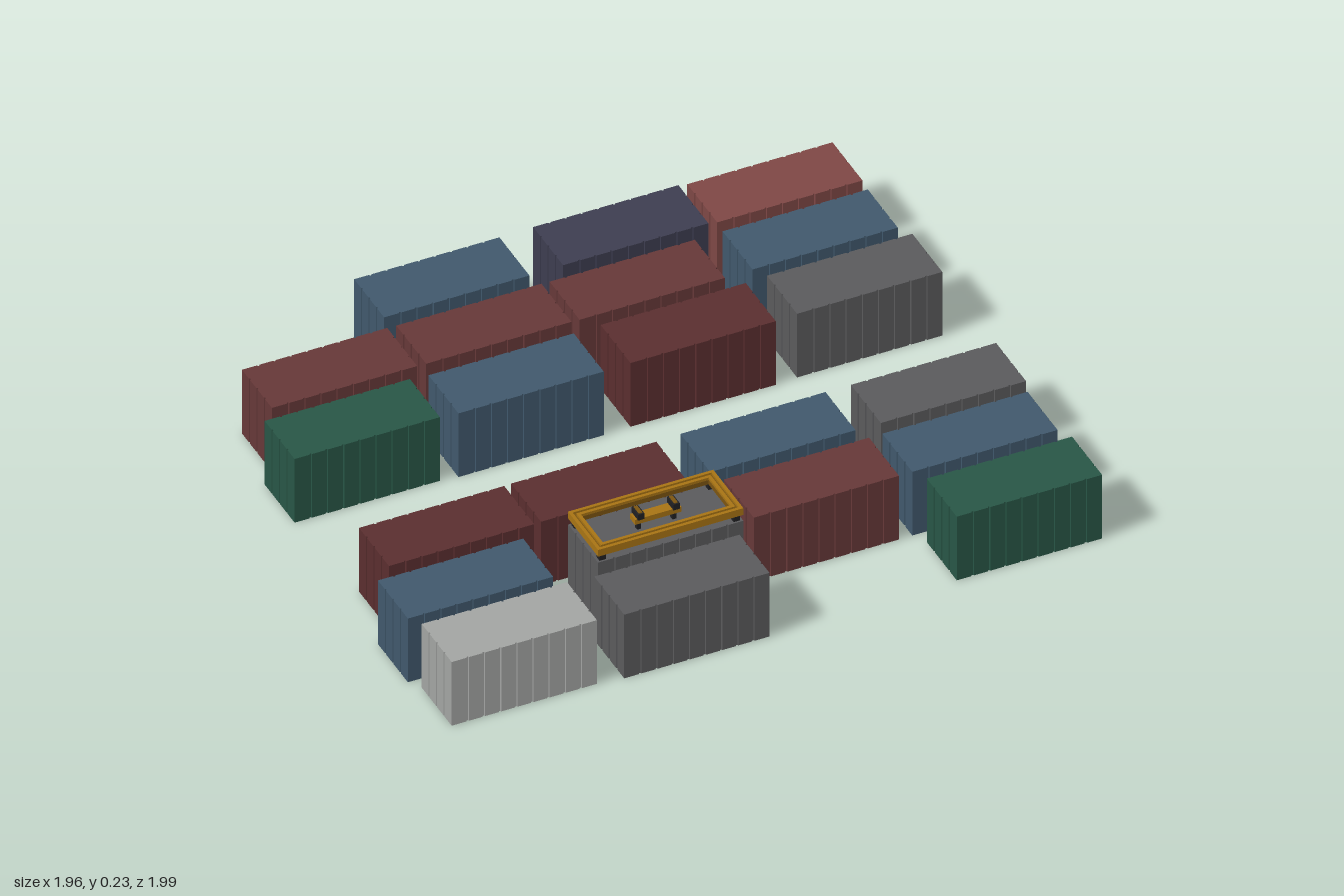
import * as THREE from 'three';

const LENGTH = 0.362, WIDTH = 0.157, HEIGHT = 0.18, YAW = Math.PI / 6;

const COLORS = {
  lightRed: 0x7e4745, red: 0x663838, darkRed: 0x5a2e2f, blue: 0x40586c, navy: 0x3d3d50,
  grey: 0x5a5a5c, green: 0x285646, lightGrey: 0xa2a4a2, orange: 0xa87414, channel: 0x7c5510, black: 0x202022,
};
const materials = {};
for (const key in COLORS) {
  materials[key] = new THREE.MeshStandardMaterial({ color: COLORS[key], flatShading: true });
}

// Colour, x and z of every container in the yard
const CONTAINERS = [
  ['lightRed', 0.156, -0.84], ['navy', -0.177, -0.654], ['blue', -0.563, -0.429],
  ['blue', 0.249, -0.672], ['grey', 0.362, -0.516], ['red', -0.124, -0.455],
  ['darkRed', 0.003, -0.304], ['red', -0.455, -0.265], ['blue', -0.368, -0.087],
  ['red', -0.788, -0.074], ['green', -0.722, 0.111],
  ['grey', 0.582, -0.127], ['blue', 0.667, 0.048], ['green', 0.78, 0.206],
  ['blue', 0.214, 0.085], ['red', 0.325, 0.246], ['darkRed', -0.151, 0.299],
  ['grey', -0.011, 0.44], ['grey', 0.063, 0.628], ['darkRed', -0.479, 0.49],
  ['blue', -0.421, 0.681], ['lightGrey', -0.31, 0.834],
];

// Extrudes a plan shape upwards from y = 0
function extrudeUp(shape, height) {
  return new THREE.ExtrudeGeometry(shape, { depth: height, bevelEnabled: false }).rotateX(-Math.PI / 2);
}

// Rectangular plan with narrow vertical grooves on all four sides
function groovedPlan() {
  const pts = [], depth = 0.003, half = 0.003;
  const corners = [[-1, -1], [1, -1], [1, 1], [-1, 1]].map(([x, y]) => new THREE.Vector2(x * LENGTH / 2, y * WIDTH / 2));
  corners.forEach((a, i) => {
    const b = corners[(i + 1) % 4];
    const dir = b.clone().sub(a).normalize(), inward = new THREE.Vector2(-dir.y, dir.x);
    const span = a.distanceTo(b), grooves = i % 2 ? 3 : 8;
    const at = (s, d) => pts.push(a.clone().addScaledVector(dir, s).addScaledVector(inward, d));
    at(0, 0);
    for (let k = 1; k <= grooves; k++) {
      const s = span * k / (grooves + 1);
      at(s - half, 0);
      at(s - half * 0.6, depth);
      at(s + half * 0.6, depth);
      at(s + half, 0);
    }
  });
  return new THREE.Shape(pts);
}

// Rectangular ring in plan
function ring(length, width, band, height) {
  const rect = (Type, l, w) => new Type([[-1, -1], [1, -1], [1, 1], [-1, 1]].map(([x, y]) => new THREE.Vector2(x * l / 2, y * w / 2)));
  const shape = rect(THREE.Shape, length, width);
  shape.holes.push(rect(THREE.Path, length - 2 * band, width - 2 * band));
  return extrudeUp(shape, height);
}

function add(parent, name, geometry, material, x = 0, y = 0, z = 0) {
  const mesh = new THREE.Mesh(geometry, materials[material]);
  mesh.name = name;
  mesh.position.set(x, y, z);
  parent.add(mesh);
  return mesh;
}

// Lifting frame standing on one container
function createLiftingFrame() {
  const frame = new THREE.Group();
  frame.name = 'liftingFrame';
  add(frame, 'frameChannel', ring(0.36, 0.156, 0.022, 0.012), 'channel', 0, 0.198);
  add(frame, 'outerRail', ring(0.362, 0.158, 0.008, 0.019), 'orange', 0, 0.197);
  add(frame, 'innerRail', ring(0.334, 0.13, 0.008, 0.019), 'orange', 0, 0.197);

  // Corner feet
  const foot = new THREE.BoxGeometry(0.016, 0.019, 0.016);
  for (const sx of [-1, 1]) {
    for (const sz of [-1, 1]) add(frame, 'cornerFoot', foot, 'black', sx * 0.167, 0.1895, sz * 0.066);
  }

  // Middle beam with its lifting lugs and supports
  add(frame, 'middleBeam', new THREE.BoxGeometry(0.115, 0.014, 0.026), 'orange', 0, 0.208);
  for (const s of [-1, 1]) {
    add(frame, 'liftingLug', new THREE.BoxGeometry(0.016, 0.016, 0.034), 'black', s * 0.044, 0.222);
    add(frame, 'lugCap', new THREE.BoxGeometry(0.009, 0.003, 0.028), 'channel', s * 0.044, 0.2305);
    add(frame, 'beamSupport', new THREE.BoxGeometry(0.01, 0.022, 0.012), 'black', s * 0.044, 0.191);
  }
  return frame;
}

export function createModel() {
  const model = new THREE.Group();
  model.name = 'containerYard';

  // Containers share one corrugated body
  const body = extrudeUp(groovedPlan(), HEIGHT);
  for (const [color, x, z] of CONTAINERS) {
    add(model, 'container', body, color, x, 0, z).rotation.y = YAW;
  }

  const frame = createLiftingFrame();
  frame.position.set(-0.011, 0, 0.44);
  frame.rotation.y = YAW;
  model.add(frame);
  return model;
}
